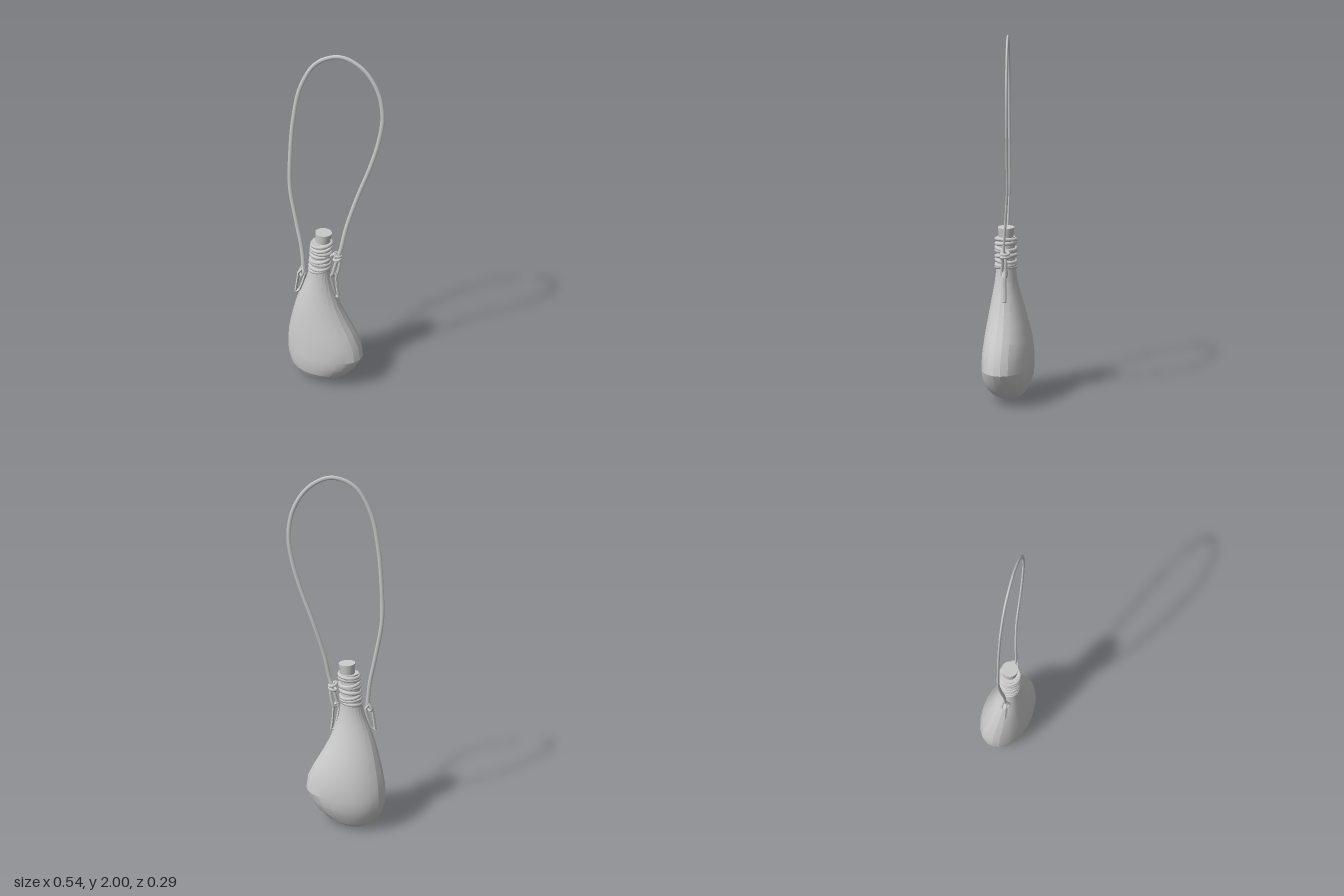
import * as THREE from 'three';
import { toCreasedNormals } from 'three/addons/utils/BufferGeometryUtils.js';

const grey = new THREE.MeshStandardMaterial({ color: 0xcccccc });
const V = (p) => new THREE.Vector3(p[0], p[1], p[2] ?? 0);

function add(group, name, geometry) {
  const mesh = new THREE.Mesh(geometry, grey);
  mesh.name = name;
  group.add(mesh);
  return mesh;
}

// Round cord through a few points
function cord(points, radius, segments, closed = false, sides = 8) {
  const curve = new THREE.CatmullRomCurve3(points.map(V), closed);
  return new THREE.TubeGeometry(curve, segments, radius, sides, closed);
}

// Skin of stacked, slightly skewed oval sections: [y, left, right, halfDepth, zCentre]
function loft(sections, sides) {
  const pos = [], index = [];
  for (const [y, left, right, depth, zc] of sections) {
    const cx = (left + right) / 2, rx = (right - left) / 2;
    const skew = Math.max(0, rx - depth) * 0.45;
    for (let i = 0; i < sides; i++) {
      const a = (i / sides) * Math.PI * 2;
      pos.push(cx + rx * Math.cos(a), y, zc + depth * Math.sin(a) + skew * Math.cos(a));
    }
  }
  for (let r = 0; r < sections.length - 1; r++) {
    for (let i = 0; i < sides; i++) {
      const j = (i + 1) % sides;
      const a = r * sides + i, b = r * sides + j, c = a + sides, d = b + sides;
      index.push(a, c, b, b, c, d);
    }
  }
  // Close both ends with a fan
  const last = (sections.length - 1) * sides;
  for (let i = 1; i < sides - 1; i++) {
    index.push(0, i, i + 1, last, last + i + 1, last + i);
  }
  const g = new THREE.BufferGeometry();
  g.setAttribute('position', new THREE.Float32BufferAttribute(pos, 3));
  g.setIndex(index);
  return toCreasedNormals(g, 0.32);
}

export function createModel() {
  const model = new THREE.Group();
  model.name = 'waterskin';

  // Pear-shaped skin with a narrow neck
  add(model, 'skinBody', loft([
    [0.0, -0.12, -0.05, 0.025, -0.015],
    [0.012, -0.165, -0.01, 0.055, -0.01],
    [0.04, -0.21, 0.05, 0.092, -0.005],
    [0.085, -0.245, 0.108, 0.12, 0],
    [0.14, -0.262, 0.15, 0.137, 0],
    [0.2, -0.27, 0.18, 0.141, 0],
    [0.28, -0.265, 0.168, 0.138, 0],
    [0.36, -0.25, 0.13, 0.128, 0],
    [0.44, -0.23, 0.085, 0.112, 0.003],
    [0.52, -0.208, 0.045, 0.094, 0.006],
    [0.6, -0.178, 0.015, 0.076, 0.01],
    [0.67, -0.148, -0.005, 0.061, 0.013],
    [0.74, -0.13, -0.015, 0.053, 0.013],
    [0.83, -0.12, -0.015, 0.051, 0.013],
    [0.915, -0.112, -0.01, 0.05, 0.013],
  ], 22));

  // Cork, wider at the top
  const cork = add(model, 'cork', toCreasedNormals(new THREE.CylinderGeometry(0.045, 0.036, 0.09, 20), 0.6));
  cork.position.set(-0.052, 0.925, 0.012);
  cork.rotation.z = -0.06;

  // Cord wound round the neck at slightly uneven angles
  const wraps = new THREE.Group();
  wraps.name = 'neckWraps';
  model.add(wraps);
  [0.745, 0.762, 0.785, 0.81, 0.84, 0.855, 0.882, 0.902].forEach((y, i) => {
    const ring = add(wraps, 'neckWrap', new THREE.TorusGeometry(0.053, 0.0105, 8, 28));
    ring.position.set(-0.073 + (y - 0.74) * 0.08, y, 0.013);
    ring.rotation.set(Math.PI / 2 + 0.1 * Math.sin(i * 2.3), 0.14 * Math.cos(i * 1.9), 0);
  });

  // Long carrying strap, flattened front to back
  const strap = cord([
    [-0.16, 0.71, 0.03], [-0.172, 0.85, 0.02], [-0.203, 1.02, 0.008], [-0.234, 1.22],
    [-0.229, 1.42], [-0.21, 1.62], [-0.168, 1.81], [-0.085, 1.945], [0.035, 1.989],
    [0.15, 1.935], [0.228, 1.82], [0.255, 1.68], [0.238, 1.54], [0.197, 1.39],
    [0.13, 1.2], [0.073, 1.01, 0.02], [0.045, 0.87, 0.035], [0.03, 0.82, 0.03],
  ], 0.011, 120);
  strap.scale(1, 1, 0.6);
  add(model, 'strap', strap);

  // Angular hanging loops sewn to both shoulders
  const loops = [
    ['rightLoop', [[-0.168, 0.728], [-0.188, 0.705], [-0.196, 0.65], [-0.207, 0.575], [-0.185, 0.59], [-0.165, 0.645], [-0.15, 0.7]]],
    ['leftLoop', [[0.006, 0.735], [0.024, 0.71], [0.026, 0.65], [0.036, 0.57], [0.016, 0.58], [0.004, 0.64], [-0.008, 0.7]]],
  ];
  for (const [name, pts] of loops) {
    const path = new THREE.CurvePath();
    pts.forEach((p, i) => path.add(new THREE.LineCurve3(V(p), V(pts[(i + 1) % pts.length]))));
    const g = new THREE.TubeGeometry(path, 42, 0.008, 6, true);
    g.scale(1, 1, 1.6);
    add(model, name, toCreasedNormals(g, 0.5)).position.z = 0.02;
  }

  // Strap end hooked through the right loop
  add(model, 'strapHook', cord([
    [-0.165, 0.75, 0.02], [-0.16, 0.71, 0.038], [-0.172, 0.685, 0.03], [-0.185, 0.7, 0.005], [-0.17, 0.745, 0.005],
  ], 0.007, 30));

  // Tie between neck, strap and left loop
  const tie = new THREE.Group();
  tie.name = 'leftTie';
  model.add(tie);
  add(tie, 'tieLoop', cord([
    [-0.02, 0.83, 0.035], [0.015, 0.85, 0.03], [0.038, 0.82, 0.015], [0.038, 0.77, 0.01],
    [0.02, 0.71, 0.012], [0.006, 0.72, 0.03], [0.018, 0.78, 0.03], [0.03, 0.82, 0.03],
  ], 0.0085, 60));
  for (const [y, tilt] of [[0.815, 0.3], [0.84, -0.25]]) {
    const knot = add(tie, 'tieKnot', new THREE.TorusGeometry(0.02, 0.008, 8, 18));
    knot.position.set(0.028, y, 0.015);
    knot.rotation.set(Math.PI / 2, tilt, 0);
  }

  return model;
}
